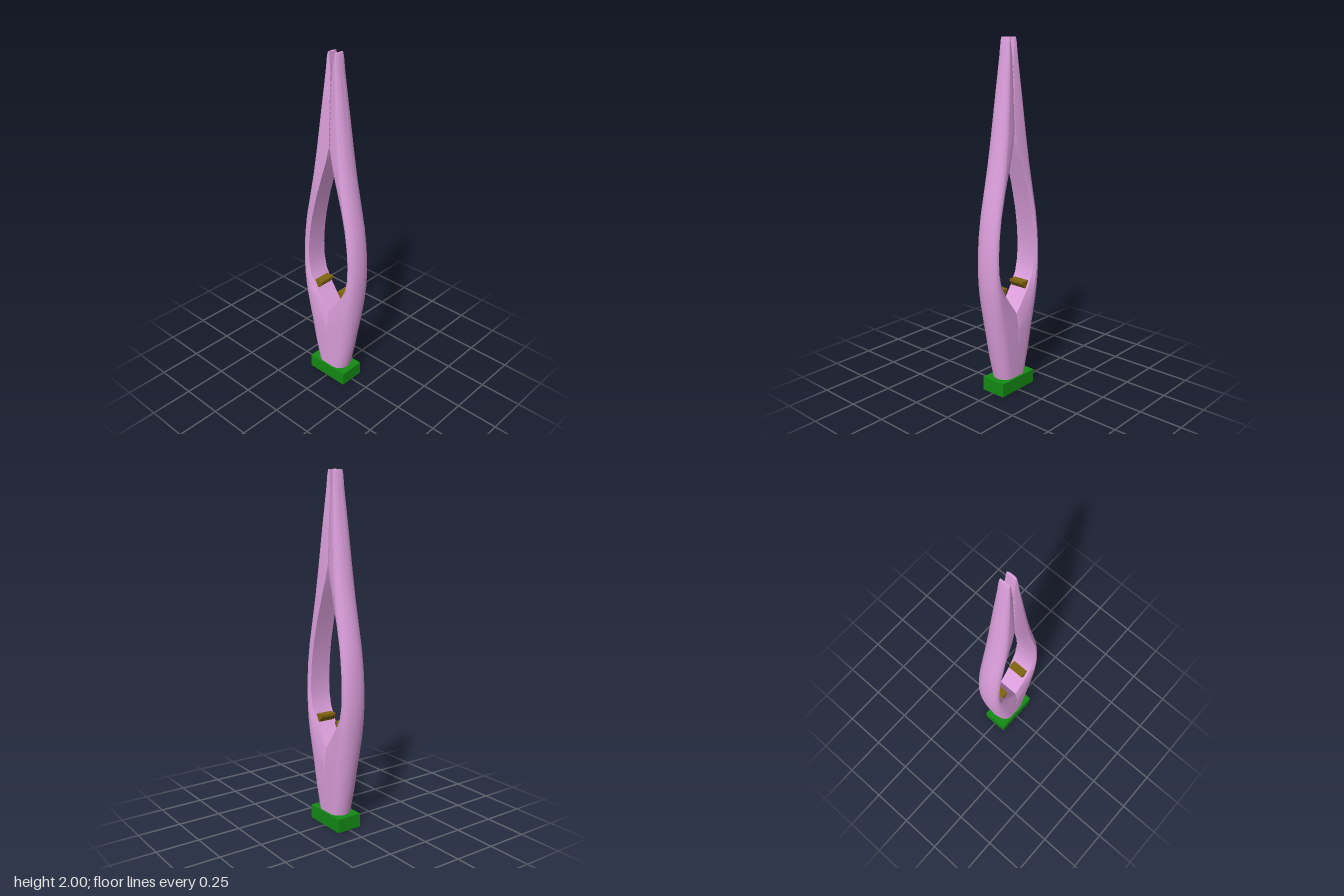
import * as THREE from 'three';
import { toCreasedNormals } from 'three/addons/utils/BufferGeometryUtils.js';

// Arm sections: y, outer x, rounding in x, bevel edge x, inner face x, half depth, inner face half depth
const SECTIONS = [
  [0.08, 0.1, 0.06, 0.001, 0, 0.065, 0.065],
  [0.22, 0.133, 0.065, 0.001, 0, 0.07, 0.07],
  [0.37, 0.16, 0.07, 0.002, 0, 0.075, 0.074],
  [0.42, 0.169, 0.065, 0.036, 0, 0.076, 0.068],
  [0.47, 0.177, 0.06, 0.07, 0.001, 0.076, 0.062],
  [0.53, 0.185, 0.052, 0.1, 0.045, 0.077, 0.062],
  [0.6, 0.194, 0.047, 0.128, 0.095, 0.077, 0.063],
  [0.67, 0.2, 0.043, 0.15, 0.131, 0.076, 0.064],
  [0.75, 0.203, 0.04, 0.162, 0.147, 0.075, 0.064],
  [0.84, 0.202, 0.04, 0.161, 0.149, 0.074, 0.063],
  [0.94, 0.195, 0.04, 0.154, 0.141, 0.073, 0.062],
  [1.05, 0.181, 0.04, 0.14, 0.123, 0.071, 0.06],
  [1.18, 0.156, 0.042, 0.112, 0.092, 0.069, 0.058],
  [1.32, 0.129, 0.042, 0.086, 0.05, 0.066, 0.055],
  [1.42, 0.113, 0.04, 0.072, 0.021, 0.063, 0.051],
  [1.5, 0.101, 0.038, 0.062, 0.004, 0.06, 0.047],
  [1.7, 0.073, 0.028, 0.045, 0.005, 0.05, 0.039],
  [1.9, 0.046, 0.017, 0.029, 0.006, 0.037, 0.031],
  [1.98, 0.036, 0.01, 0.025, 0.016, 0.032, 0.028],
  [2.0, 0.031, 0.008, 0.022, 0.018, 0.029, 0.027],
];

// Outline of one section, front inner edge round the outside to back inner edge
function outline([y, xo, rx, xc, xi, zd, zi], side) {
  const pts = [[xi, zi], [xc, zd]];
  const steps = 16;
  for (let i = 0; i <= steps; i++) {
    const a = Math.PI / 2 - (i / steps) * Math.PI;
    pts.push([xo - rx + rx * Math.cos(a), zd * Math.sin(a)]);
  }
  pts.push([xc, -zd], [xi, -zi]);
  return pts.map(([x, z]) => [x * side, y, z]);
}

function armGeometry(side) {
  const rings = SECTIONS.map((s) => outline(s, side));
  const n = rings[0].length;
  const index = [];
  const tri = (a, b, c) => (side > 0 ? index.push(a, b, c) : index.push(a, c, b));
  for (let r = 0; r < rings.length - 1; r++) {
    for (let i = 0; i < n; i++) {
      const a = r * n + i, b = r * n + ((i + 1) % n);
      tri(a, b, b + n);
      tri(a, b + n, a + n);
    }
  }
  // End caps
  const top = (rings.length - 1) * n;
  for (let i = 1; i < n - 1; i++) {
    tri(0, i + 1, i);
    tri(top, top + i, top + i + 1);
  }
  const g = new THREE.BufferGeometry();
  g.setAttribute('position', new THREE.Float32BufferAttribute(rings.flat(2), 3));
  g.setIndex(index);
  return toCreasedNormals(g, 0.45);
}

// Wedge-shaped stop with a flat top
function stopGeometry(side) {
  const s = new THREE.Shape();
  s.moveTo(0.066 * side, 0.637);
  s.lineTo(0.066 * side, 0.622);
  s.lineTo(0.085 * side, 0.595);
  s.lineTo(0.12 * side, 0.595);
  s.lineTo(0.13 * side, 0.637);
  s.closePath();
  return new THREE.ExtrudeGeometry(s, { depth: 0.1, bevelEnabled: false }).translate(0, 0, -0.05);
}

export function createModel() {
  const model = new THREE.Group();
  model.name = 'tweezers';
  const pink = new THREE.MeshStandardMaterial({ color: 0xdda0dd });
  const green = new THREE.MeshStandardMaterial({ color: 0x138a13 });
  const olive = new THREE.MeshStandardMaterial({ color: 0x806510 });
  const add = (name, geometry, material, parent = model) => {
    const mesh = new THREE.Mesh(geometry, material);
    mesh.name = name;
    parent.add(mesh);
    return mesh;
  };

  // Foot block
  add('base', new THREE.BoxGeometry(0.27, 0.08, 0.152).translate(0, 0.04, 0), green);

  for (const side of [1, -1]) {
    const label = side > 0 ? 'left' : 'right';
    add(label + 'Arm', armGeometry(side), pink);
    add(label + 'Stop', stopGeometry(side), olive);

    // Gripping ridges along the inner jaw face
    const teeth = new THREE.Group();
    teeth.name = label + 'Teeth';
    model.add(teeth);
    for (let i = 0; i < 13; i++) {
      const y = 1.5 + i * 0.029;
      const depth = 0.088 - i * 0.0025;
      add('tooth', new THREE.BoxGeometry(0.009, 0.015, depth).translate(side * 0.0046, y, 0), pink, teeth);
    }
  }
  return model;
}
